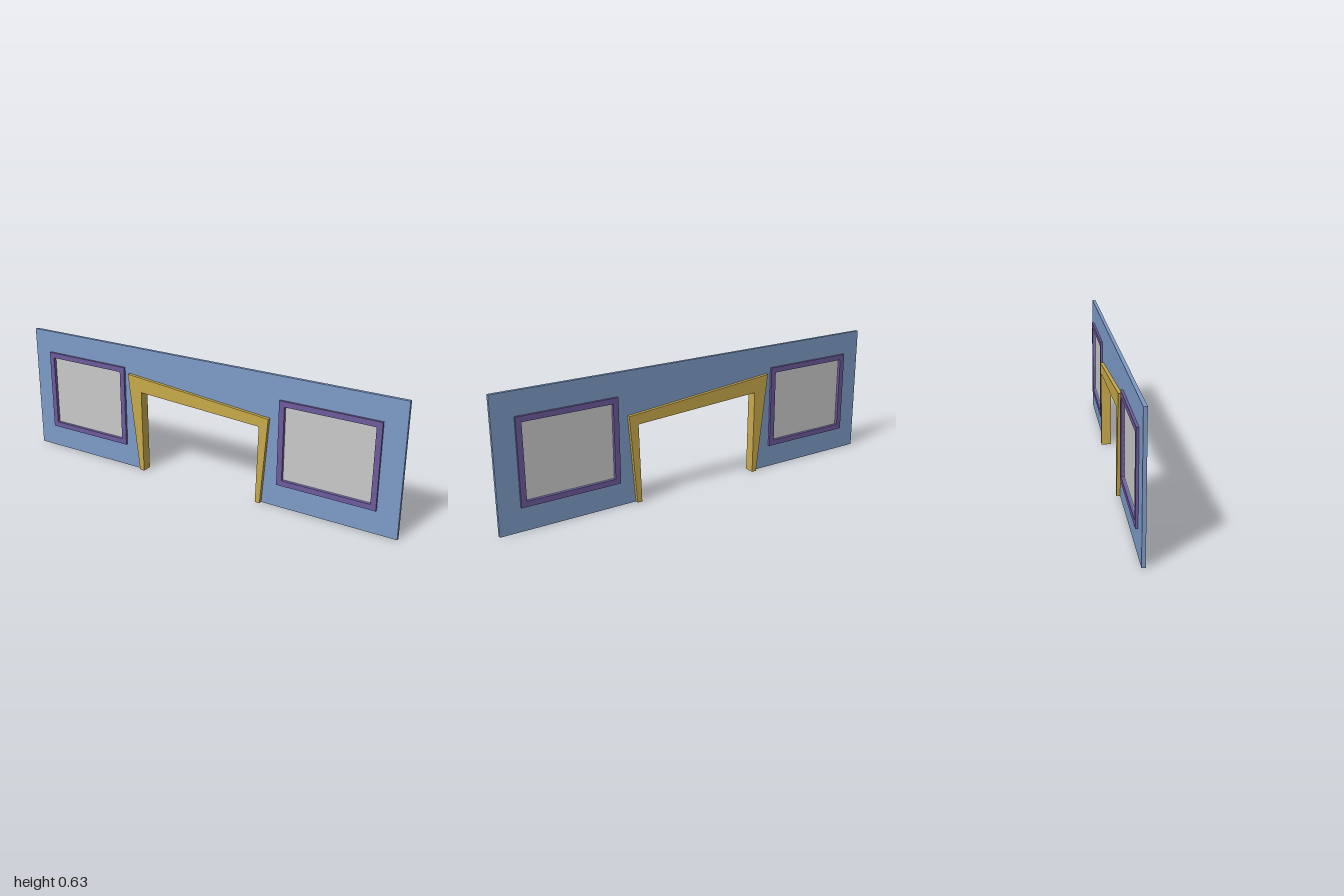
import * as THREE from 'three';

const material = (name, color) => {
  const m = new THREE.MeshStandardMaterial({ color });
  m.name = name;
  return m;
};

const rect = (x0, y0, x1, y1) => [[x0, y0], [x1, y0], [x1, y1], [x0, y1]];
const toPoints = (list) => list.map(([x, y]) => new THREE.Vector2(x, y));

// Flat slab cut from an outline with holes, centred on z = 0
function slab(name, outline, holes, depth, mat) {
  const shape = new THREE.Shape(toPoints(outline));
  for (const hole of holes) shape.holes.push(new THREE.Path(toPoints(hole)));
  const geometry = new THREE.ExtrudeGeometry(shape, { depth, bevelEnabled: false });
  geometry.translate(0, 0, -depth / 2);
  const mesh = new THREE.Mesh(geometry, mat);
  mesh.name = name;
  return mesh;
}

export function createModel() {
  const group = new THREE.Group();
  group.name = 'wallWithDoorway';
  const blue = material('wallBlue', 0x7d9bc7);
  const gold = material('doorGold', 0xc8aa4b);
  const purple = material('framePurple', 0x6d5b9c);
  const grey = material('glassGrey', 0xc9c9c9);

  const border = 0.026, bottom = 0.113, top = 0.518;
  const windows = [
    { name: 'rightWindow', x0: -0.903, x1: -0.426 },
    { name: 'leftWindow', x0: 0.423, x1: 0.899 },
  ];
  const inner = (w) => rect(w.x0 + border, bottom + border, w.x1 - border, top - border);

  // Wall with slanted doorway notch and window openings
  const wall = [
    [-1, 0], [-0.336, 0], [-0.39, 0.485], [0.367, 0.416], [0.34, 0],
    [1, 0], [1, 0.627], [-1, 0.627],
  ];
  group.add(slab('wall', wall, windows.map(inner), 0.016, blue));

  // Crooked door surround
  const surround = [
    [-0.339, 0], [-0.315, 0], [-0.32, 0.412], [0.329, 0.377], [0.319, 0],
    [0.343, 0], [0.375, 0.422], [-0.398, 0.492],
  ];
  group.add(slab('doorSurround', surround, [], 0.049, gold));

  // Windows: raised frame on both faces and a recessed pane
  for (const w of windows) {
    const unit = new THREE.Group();
    unit.name = w.name;
    unit.add(slab('windowFrame', rect(w.x0, bottom, w.x1, top), [inner(w)], 0.038, purple));
    unit.add(slab('windowPane', inner(w), [], 0.008, grey));
    group.add(unit);
  }
  return group;
}
